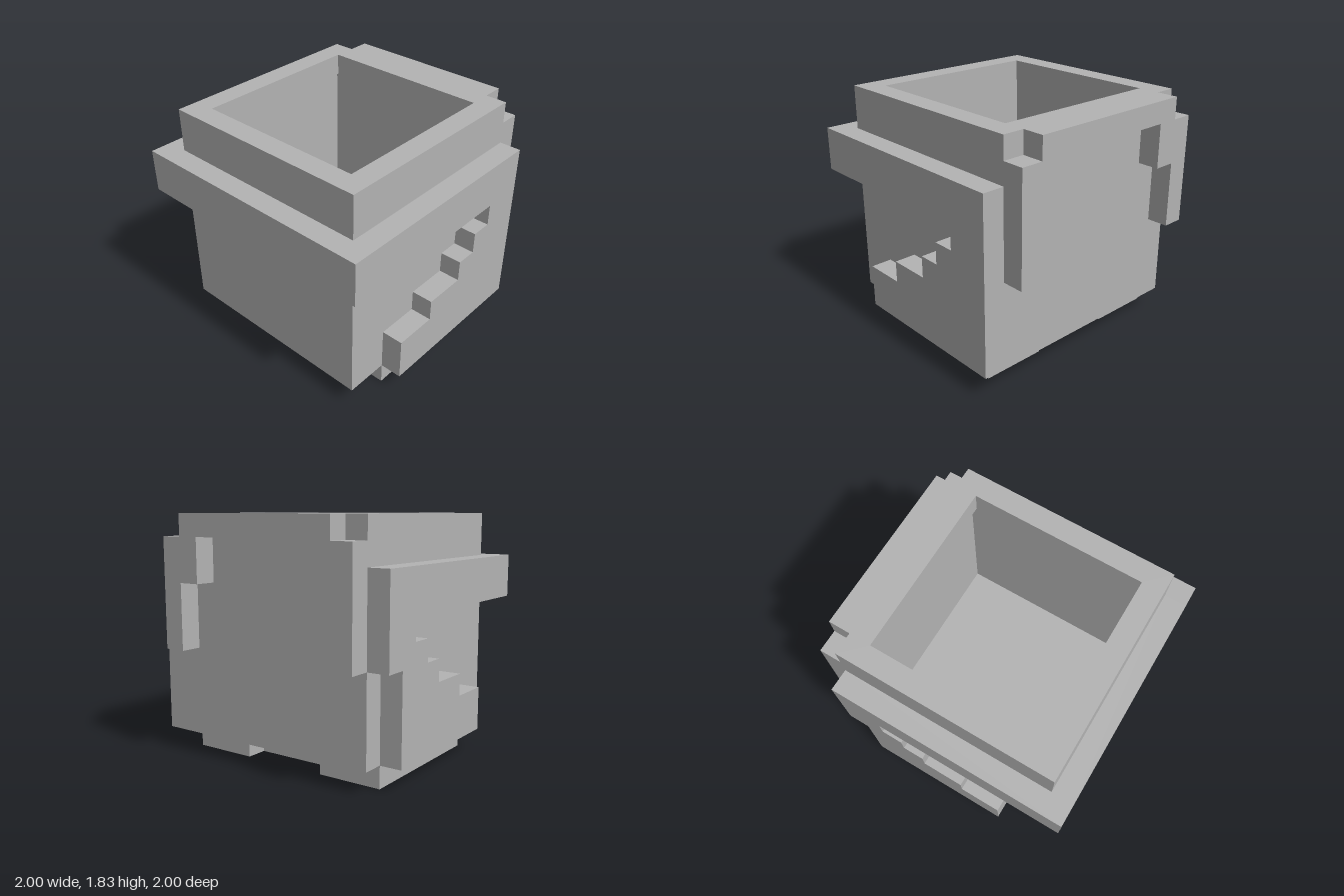
import * as THREE from 'three';

const U = 1 / 6; // one grid step; all sizes below are in steps

export function createModel() {
  const model = new THREE.Group();
  model.name = 'steppedPot';
  const stone = new THREE.MeshStandardMaterial({ color: 0xb3b3b3 });
  stone.name = 'stoneGrey';

  const add = (name, geometry) => {
    const mesh = new THREE.Mesh(geometry, stone);
    mesh.name = name;
    model.add(mesh);
    return mesh;
  };

  const box = (name, [x0, x1], [y0, y1], [z0, z1]) => {
    const mesh = add(name, new THREE.BoxGeometry((x1 - x0) * U, (y1 - y0) * U, (z1 - z0) * U));
    mesh.position.set((x0 + x1) * U / 2, (y0 + y1) * U / 2, (z0 + z1) * U / 2);
  };

  const outline = (points) => new THREE.Shape(points.map(([a, b]) => new THREE.Vector2(a * U, b * U)));
  const slab = (shape, depth) => new THREE.ExtrudeGeometry(shape, { depth: depth * U, bevelEnabled: false });
  const square = (r) => [[-r, -r], [r, -r], [r, r], [-r, r]];

  // Square ring lying flat, from height y0 to y1
  const ring = (name, outer, inner, y0, y1) => {
    const shape = outline(square(outer));
    shape.holes.push(outline(square(inner)));
    const geometry = slab(shape, y1 - y0);
    geometry.rotateX(-Math.PI / 2);
    geometry.translate(0, y0 * U, 0);
    add(name, geometry);
  };

  // Hollow thin-walled body with a narrower mouth
  ring('bodyWalls', 5, 4.94, 1, 10);
  ring('mouthRim', 5, 4, 10, 11);
  box('bodyFloor', [-4.94, 4.94], [1, 1.06], [-4.94, 4.94]);

  // Base, notched in the middle of the back
  const base = slab(outline([[-5, -3], [5, -3], [5, 4], [2, 4], [2, 3], [-2, 3], [-2, 4], [-5, 4]]), 1);
  base.rotateX(-Math.PI / 2);
  add('base', base);

  // Front of the raised band
  box('frontBand', [-5, 5], [7, 9], [5, 6]);

  // Sides of the band, with a stepped panel running down to the bottom; points are [z, y]
  const steps = [[6, 9], [6, 7], [-3, 7], [-3, 6], [-2, 6], [-2, 5], [-1, 5], [-1, 4],
    [1, 4], [1, 3], [3, 3], [3, 1]];
  const backEdges = {
    left: [[-5, 1], [-5, 9]],
    right: [[-4, 1], [-4, 5], [-5, 5], [-5, 9]],
  };
  for (const [side, x] of [['left', 5], ['right', -6]]) {
    const geometry = slab(outline([...steps, ...backEdges[side]].map(([z, y]) => [-z, y])), 1);
    geometry.rotateY(Math.PI / 2);
    geometry.translate(x * U, 0, 0);
    add(`${side}SteppedPanel`, geometry);
  }

  // Overflow hanging down the back; half outline mirrored
  const half = [[4, 11], [4, 10], [5, 10], [5, 5], [4, 5], [4, 8], [3, 8], [3, 10]];
  const mirrored = half.map(([x, y]) => [-x, y]).reverse();
  const drip = slab(outline([...half, ...mirrored]), 1);
  drip.translate(0, 0, -6 * U);
  add('backDrips', drip);

  return model;
}
